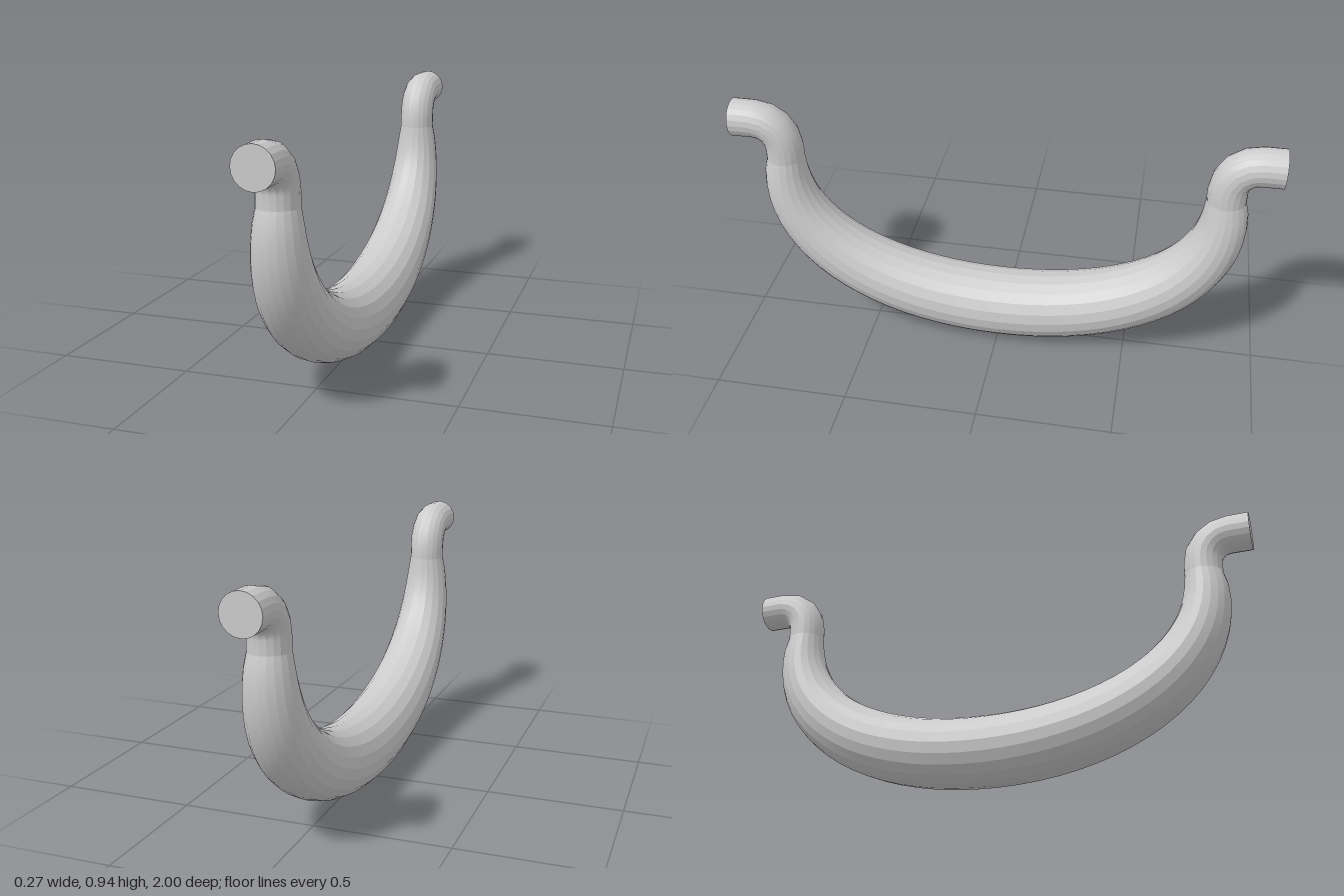
import * as THREE from 'three';

const SIDES = 20;
const END_RADIUS = 0.0705;
const END_Y = 0.8725;
const JOINT_Y = 0.72;
const JOINT_Z = 0.816;
const material = new THREE.MeshStandardMaterial({ color: 0xcccccc });

// Skin round cross-sections lying along a path in the y-z plane.
// Each section: centre (y, z), unit normal (ny, nz) in that plane, radius r.
// Every lengthwise strip has its own vertices: smooth along, faceted around.
function sweep(sections) {
  const positions = [];
  const indices = [];
  for (let j = 0; j < SIDES; j++) {
    const start = positions.length / 3;
    sections.forEach(({ y, z, ny, nz, r }, i) => {
      for (const k of [j, j + 1]) {
        const a = (k / SIDES) * Math.PI * 2;
        const c = Math.cos(a) * r;
        positions.push(Math.sin(a) * r, y + ny * c, z + nz * c);
      }
      if (i > 0) {
        const n = start + i * 2;
        indices.push(n - 2, n, n - 1, n - 1, n, n + 1);
      }
    });
  }
  const geometry = new THREE.BufferGeometry();
  geometry.setAttribute('position', new THREE.Float32BufferAttribute(positions, 3));
  geometry.setIndex(indices);
  geometry.computeVertexNormals();
  return geometry;
}

// Bowed grip: one half follows a curve that swells outwards below the joint
// and thickens towards the middle; the other half mirrors it.
function gripSections() {
  const lowY = 0.135, count = 20;
  const curve = new THREE.CubicBezierCurve(
    new THREE.Vector2(JOINT_Z, JOINT_Y),
    new THREE.Vector2(0.86, 0.37),
    new THREE.Vector2(0.5, lowY),
    new THREE.Vector2(0, lowY)
  );
  const half = [];
  for (let i = 0; i <= count; i++) {
    const p = curve.getPoint(i / count);
    const t = curve.getTangent(i / count);
    const drop = (JOINT_Y - p.y) / (JOINT_Y - lowY);
    half.push({
      y: p.y,
      z: p.x,
      ny: i === 0 ? 0 : t.x, // level ring where the grip meets the end
      nz: i === 0 ? 1 : -t.y,
      r: END_RADIUS + (0.134 - END_RADIUS) * Math.pow(drop, 0.78),
    });
  }
  const mirrored = half.slice(0, -1).reverse().map((s) => ({ ...s, z: -s.z, nz: -s.nz }));
  return [...half, ...mirrored];
}

// Mounting end: straight stub, quarter-turn elbow, short drop to the grip
function endSections() {
  const bend = 0.105, steps = 4;
  const sections = [{ y: END_Y, z: 1, ny: -1, nz: 0, r: END_RADIUS }];
  for (let i = 0; i <= steps; i++) {
    const a = ((i / steps) * Math.PI) / 2;
    sections.push({
      y: END_Y - bend * (1 - Math.cos(a)),
      z: JOINT_Z + bend * (1 - Math.sin(a)),
      ny: -Math.cos(a),
      nz: Math.sin(a),
      r: END_RADIUS,
    });
  }
  sections.push({ y: JOINT_Y, z: JOINT_Z, ny: 0, nz: 1, r: END_RADIUS });
  return sections;
}

function createEnd(name) {
  const end = new THREE.Group();
  end.name = name;
  const elbow = new THREE.Mesh(sweep(endSections()), material);
  elbow.name = 'elbow';
  const face = new THREE.Mesh(new THREE.CircleGeometry(END_RADIUS, SIDES), material);
  face.name = 'endFace';
  face.position.set(0, END_Y, 1);
  end.add(elbow, face);
  return end;
}

export function createModel() {
  const model = new THREE.Group();
  model.name = 'pullHandle';

  const grip = new THREE.Mesh(sweep(gripSections()), material);
  grip.name = 'grip';

  const frontEnd = createEnd('frontEnd');
  const backEnd = createEnd('backEnd');
  backEnd.rotation.y = Math.PI;

  model.add(grip, frontEnd, backEnd);
  return model;
}
